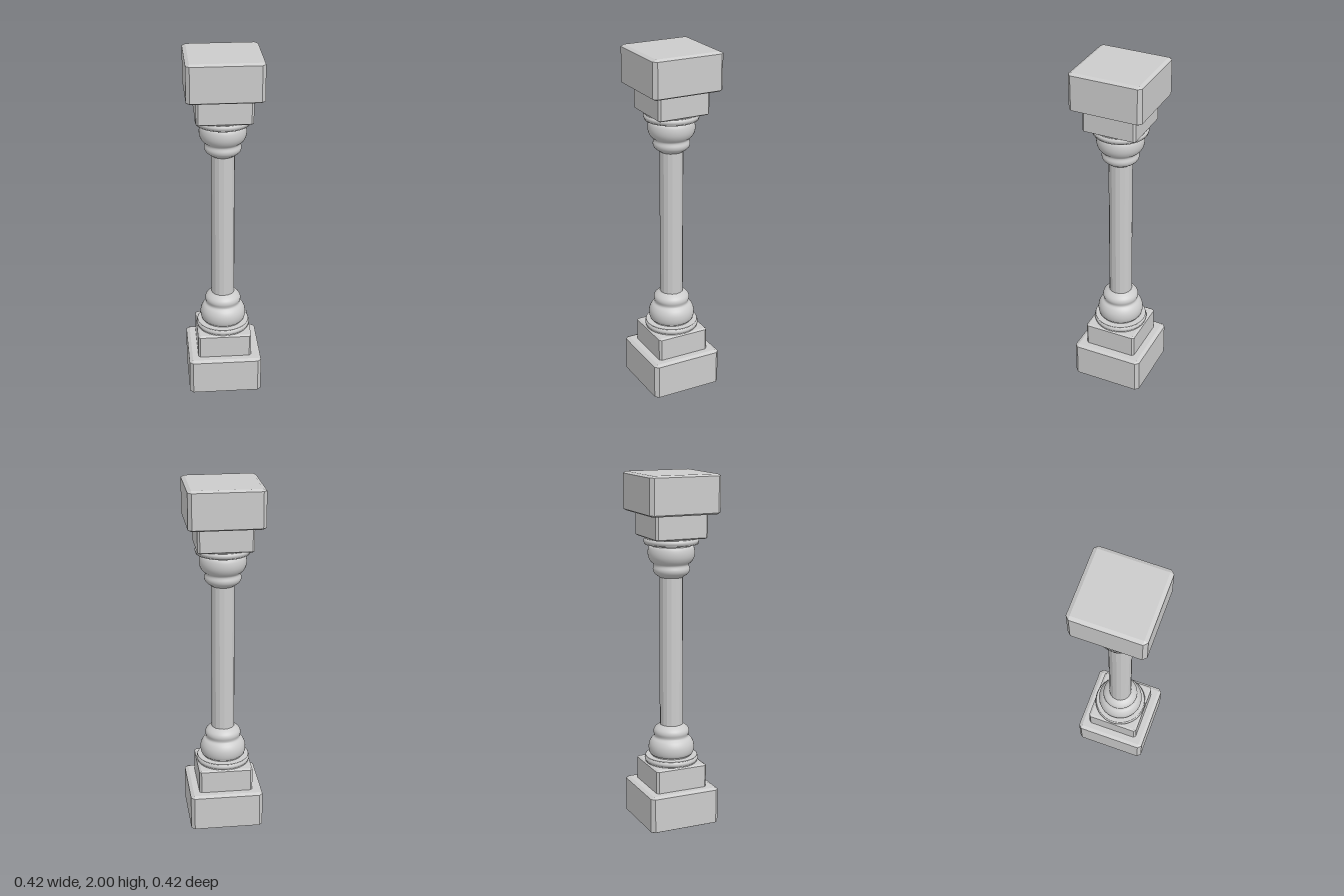
import * as THREE from 'three';
import { ConvexGeometry } from 'three/addons/geometries/ConvexGeometry.js';

const material = new THREE.MeshStandardMaterial({ color: 0xcccccc });

// Square block with chamfered edges; h = half width, c = side chamfer, cy = chamfer height
function chamferedBlock(h, y0, y1, c, cy) {
  const points = [];
  for (const sx of [-1, 1]) for (const sz of [-1, 1]) {
    const x = sx * (h - c), z = sz * (h - c);
    for (const y of [y0, y1]) points.push(new THREE.Vector3(x, y, z));
    for (const y of [y0 + cy, y1 - cy]) {
      points.push(new THREE.Vector3(sx * h, y, z), new THREE.Vector3(x, y, sz * h));
    }
  }
  return new ConvexGeometry(points);
}

// Smooth turned part through a few [radius, y] points, closed onto the axis
function turned(profile) {
  const curve = new THREE.SplineCurve(profile.map(([r, y]) => new THREE.Vector2(r, y)));
  return new THREE.LatheGeometry(curve.getPoints(28), 48);
}

function add(group, name, geometry) {
  const mesh = new THREE.Mesh(geometry, material);
  mesh.name = name;
  group.add(mesh);
}

// One end of the column, standing on y = 0
function createEnd(name) {
  const end = new THREE.Group();
  end.name = name;
  add(end, 'outerBlock', chamferedBlock(0.208, 0, 0.217, 0.02, 0.01));
  add(end, 'innerBlock', chamferedBlock(0.154, 0.205, 0.352, 0.012, 0.007));
  // Thin rounded ring on the block
  add(end, 'ring', turned([[0, 0.35], [0.135, 0.351], [0.148, 0.357], [0.154, 0.37],
    [0.148, 0.384], [0.135, 0.39], [0, 0.392]]));
  add(end, 'neck', new THREE.CylinderGeometry(0.115, 0.115, 0.03, 48).translate(0, 0.395, 0));
  // Bulb flowing into a smaller collar around the shaft
  add(end, 'bulb', turned([[0.11, 0.398], [0.124, 0.402], [0.131, 0.43], [0.128, 0.46],
    [0.115, 0.485], [0.1, 0.498], [0.098, 0.51], [0.103, 0.527], [0.099, 0.545],
    [0.085, 0.56], [0.07, 0.57], [0.06, 0.578]]));
  return end;
}

export function createModel() {
  const column = new THREE.Group();
  column.name = 'column';
  column.add(createEnd('base'));
  // The capital is the base turned upside down
  const capital = createEnd('capital');
  capital.rotation.x = Math.PI;
  capital.position.y = 2;
  column.add(capital);
  // Faceted shaft
  const shaft = new THREE.CylinderGeometry(0.066, 0.066, 0.9, 16).toNonIndexed();
  shaft.computeVertexNormals();
  add(column, 'shaft', shaft.translate(0, 1, 0));
  return column;
}
